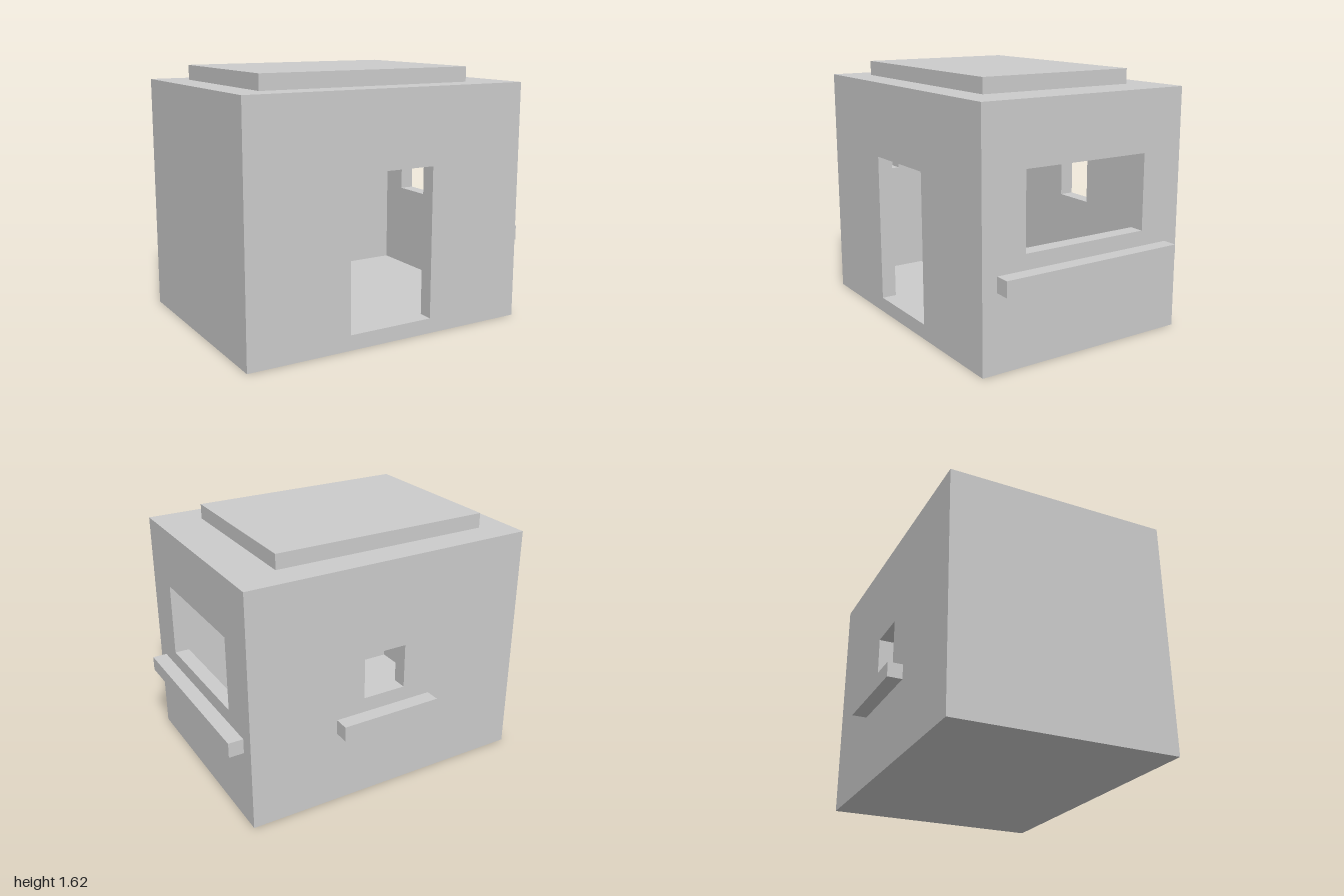
import * as THREE from 'three';

const U = 2 / 21; // building grid unit, also the wall thickness
const material = new THREE.MeshStandardMaterial({ color: 0xcccccc, flatShading: true });

// Box from minimum and maximum corners, in grid units
function box(name, [x0, y0, z0], [x1, y1, z1]) {
  const geometry = new THREE.BoxGeometry((x1 - x0) * U, (y1 - y0) * U, (z1 - z0) * U);
  geometry.translate((x0 + x1) / 2 * U, (y0 + y1) / 2 * U, (z0 + z1) / 2 * U);
  const mesh = new THREE.Mesh(geometry, material);
  mesh.name = name;
  return mesh;
}

// Rectangle outline in grid units
function rect(PathClass, [a0, b0, a1, b1]) {
  const points = [[a0, b0], [a1, b0], [a1, b1], [a0, b1]];
  return new PathClass(points.map(([a, b]) => new THREE.Vector2(a * U, b * U)));
}

// One-unit-thick upright wall with an optional rectangular opening
function wall(name, outline, opening) {
  const shape = rect(THREE.Shape, outline);
  if (opening) shape.holes.push(rect(THREE.Path, opening));
  const geometry = new THREE.ExtrudeGeometry(shape, { depth: U, bevelEnabled: false });
  const mesh = new THREE.Mesh(geometry, material);
  mesh.name = name;
  return mesh;
}

export function createModel() {
  const house = new THREE.Group();
  house.name = 'house';

  // Front wall with the doorway, back wall with the small window
  const frontWall = wall('frontWall', [-10.5, 0, 9.5, 16], [-3.5, 1, 2.5, 11]);
  frontWall.position.z = 7 * U;
  const backWall = wall('backWall', [-10.5, 0, 9.5, 16], [-1.5, 7, 1.5, 10]);
  backWall.position.z = -7 * U;

  // Side walls; after the turn their horizontal axis runs along -z
  const leftWall = wall('leftWall', [-7, 0, 6, 16], [-5, 7, 4, 12]);
  leftWall.position.x = 8.5 * U;
  const rightWall = wall('rightWall', [-7, 0, 6, 16]);
  rightWall.position.x = -10.5 * U;
  for (const side of [leftWall, rightWall]) side.rotation.y = Math.PI / 2;

  house.add(frontWall, backWall, leftWall, rightWall);

  // Floor, ceiling and raised roof slab
  house.add(
    box('floor', [-9.5, 0, -6], [8.5, 1, 7]),
    box('ceiling', [-9.5, 14, -6], [8.5, 16, 7]),
    box('roofSlab', [-8.5, 16, -5], [6.5, 17, 6]),
  );

  // Window ledges outside
  house.add(
    box('sideLedge', [9.5, 5, -6], [10.5, 6, 7]),
    box('backLedge', [-3.5, 5, -8], [3.5, 6, -7]),
  );

  // Fittings on the inside of the blank wall
  house.add(
    box('wallShelf', [-9.5, 6, 0], [-8.5, 9, 6]),
    box('shelfBlock', [-9.5, 9, 2], [-8.5, 10, 4]),
    box('wallCabinet', [-9.5, 6, -5], [-8.5, 11, -1]),
  );

  return house;
}
